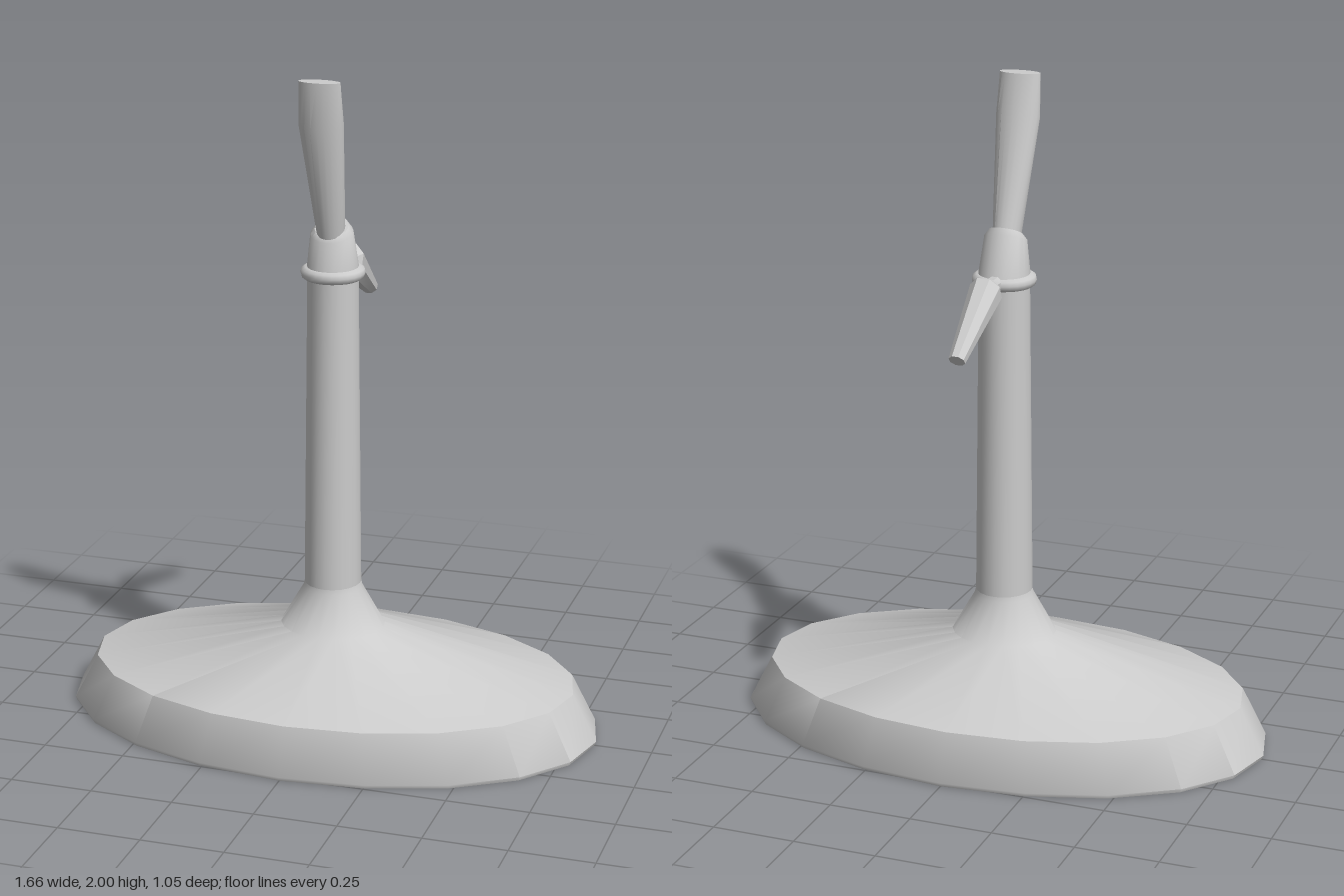
import * as THREE from 'three';
import { toCreasedNormals } from 'three/addons/utils/BufferGeometryUtils.js';

const material = new THREE.MeshStandardMaterial({ color: 0xcccccc });

// Closed loft through elliptical rings. Each ring is [y1, z1, y2, z2, rx]:
// the two ends of its side-on diameter and its half-width in x.
function loft(name, rings, sides, crease, turn = 0) {
  const points = [], index = [];
  for (const [y1, z1, y2, z2, rx] of rings) {
    for (let i = 0; i < sides; i++) {
      const a = ((i + turn) / sides) * Math.PI * 2, s = Math.sin(a);
      points.push(Math.cos(a) * rx, (y1 + y2 + (y1 - y2) * s) / 2, (z1 + z2 + (z1 - z2) * s) / 2);
    }
  }
  const last = (rings.length - 1) * sides, bottom = rings.length * sides;
  for (const [y1, z1, y2, z2] of [rings[0], rings[rings.length - 1]]) {
    points.push(0, (y1 + y2) / 2, (z1 + z2) / 2);
  }
  for (let i = 0; i < sides; i++) {
    const j = (i + 1) % sides;
    for (let r = 0; r < last; r += sides) {
      index.push(r + i, r + sides + i, r + j, r + j, r + sides + i, r + sides + j);
    }
    index.push(bottom, i, j, bottom + 1, last + j, last + i);
  }
  const geometry = new THREE.BufferGeometry();
  geometry.setAttribute('position', new THREE.Float32BufferAttribute(points, 3));
  geometry.setIndex(index);
  const mesh = new THREE.Mesh(toCreasedNormals(geometry, crease), material);
  mesh.name = name;
  return mesh;
}

// Horizontal ring centred on the column axis
const level = (y, rx, rz = rx) => [y, rz, y, -rz, rx];

export function createModel() {
  const model = new THREE.Group();
  model.name = 'tapOnStand';

  // Oval foot flowing into the column
  model.add(loft('base', [
    level(0, 0.825, 0.52),
    level(0.012, 0.83, 0.525),
    level(0.155, 0.755, 0.478),
    level(0.3, 0.16, 0.145),
    level(0.42, 0.09, 0.09),
    level(0.44, 0.085, 0.086),
  ], 20, 0.83));

  model.add(loft('column', [level(0.43, 0.086, 0.087), level(1.4, 0.075, 0.083)], 20, 0.7));

  // Thin rounded collar
  model.add(loft('collar', [
    level(1.39, 0.085), level(1.396, 0.093), level(1.408, 0.096),
    level(1.42, 0.093), level(1.426, 0.083),
  ], 24, 1));

  // Slanted cap that carries the spout
  model.add(loft('spoutSocket', [
    level(1.42, 0.077, 0.082),
    [1.51, 0.067, 1.552, -0.043, 0.064],
    [1.525, 0.06, 1.57, -0.032, 0.05],
  ], 20, 0.7));

  // Flared spout, cut level at the top
  model.add(loft('spout', [
    [1.52, 0.064, 1.56, -0.022, 0.042],
    [1.86, 0.155, 1.89, 0.069, 0.067],
    [2, 0.155, 2, 0.1, 0.063],
  ], 20, 0.5));

  // Faceted lever at the back
  model.add(loft('lever', [
    [1.435, -0.07, 1.388, -0.07, 0.025],
    [1.435, -0.115, 1.388, -0.105, 0.025],
    [1.455, -0.17, 1.362, -0.125, 0.05],
    [1.28, -0.39, 1.243, -0.358, 0.025],
  ], 8, 0.5, 0.5));

  return model;
}
